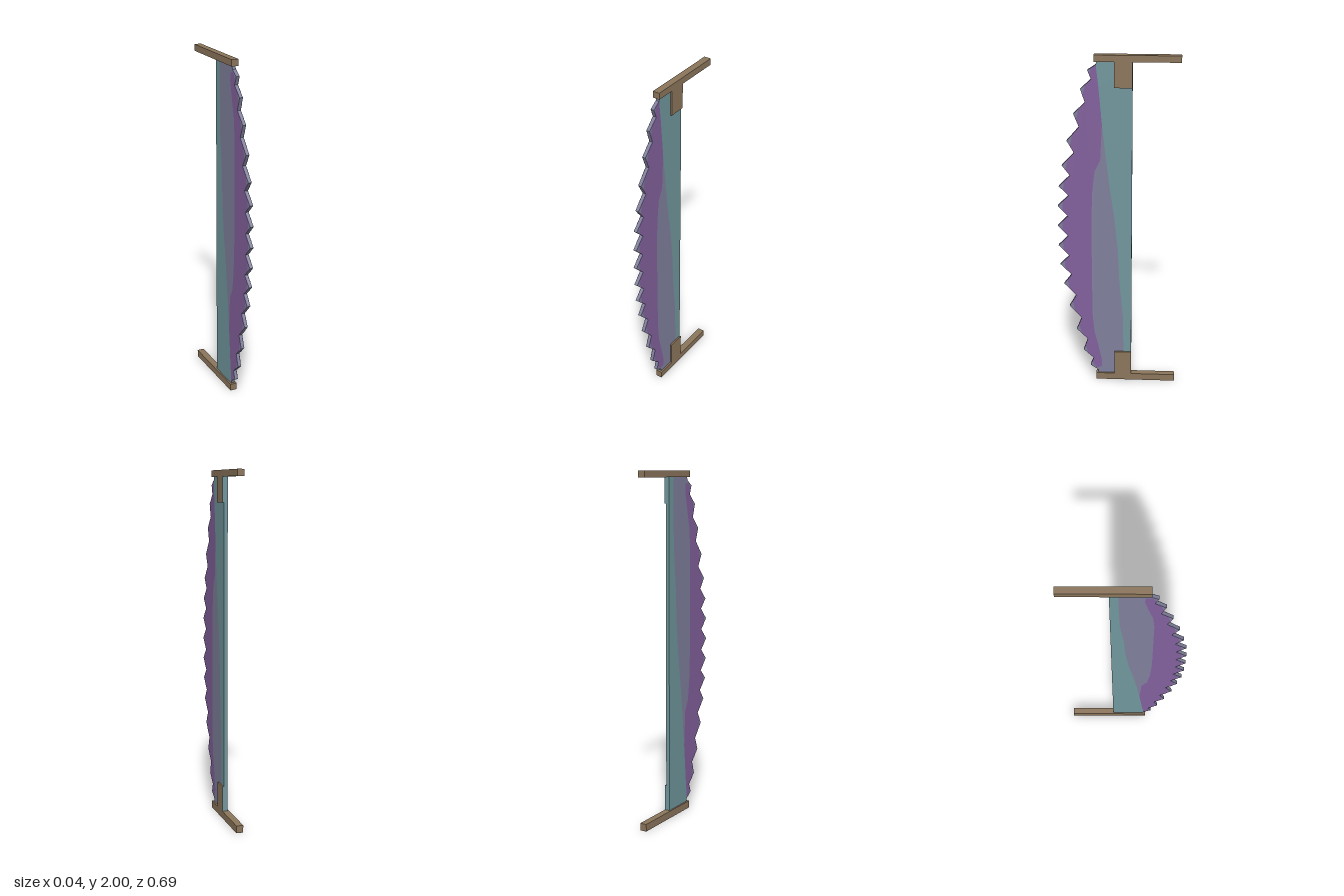
import * as THREE from 'three';

const mat = (name, color, side = THREE.FrontSide) => {
  const m = new THREE.MeshStandardMaterial({ color, side });
  m.name = name;
  return m;
};

export function createModel() {
  const group = new THREE.Group();
  const wood = mat('wood brown', 0x8b755b);
  const steel = mat('slate steel', 0x7f7f9c);
  const teal = mat('teal steel', 0x70969c, THREE.DoubleSide);
  const purple = mat('purple steel', 0x82609c, THREE.DoubleSide);

  const add = (name, geometry, material) => {
    const mesh = new THREE.Mesh(geometry, material);
    mesh.name = name;
    group.add(mesh);
    return mesh;
  };
  const box = (name, x0, x1, y0, y1, z0, z1, material) =>
    add(name, new THREE.BoxGeometry(x1 - x0, y1 - y0, z1 - z0), material)
      .position.set((x0 + x1) / 2, (y0 + y1) / 2, (z0 + z1) / 2);

  // Profile points are [z, y]; the lower half of the teeth mirrors the upper half
  const MID = 1.003, LOW = 0.04, HIGH = 1.965, BACK = -0.08;
  const flip = ([z, y]) => [z, 2 * MID - y];
  const mirror = (half) => [...half, ...half.map(flip).reverse()];
  const upperTips = [[0.165, 1.915], [0.205, 1.81], [0.245, 1.67], [0.285, 1.515],
    [0.315, 1.37], [0.335, 1.245], [0.343, 1.125]];
  const tips = [...upperTips, [0.345, MID], ...upperTips.map(flip).reverse()];
  const valleys = mirror([[0.12, 1.945], [0.145, 1.865], [0.18, 1.735], [0.215, 1.595],
    [0.245, 1.445], [0.27, 1.31], [0.28, 1.19], [0.285, 1.065]]);
  const mix = (a, b, t) => [a[0] + (b[0] - a[0]) * t, a[1] + (b[1] - a[1]) * t];

  // Toothed edge from top to bottom: sharp for the blade, cut short for the purple band
  const sharp = [], blunt = [];
  valleys.forEach((v, i) => {
    sharp.push(v);
    blunt.push(v);
    if (i < tips.length) {
      sharp.push(tips[i]);
      blunt.push(mix(v, tips[i], 0.55), mix(valleys[i + 1], tips[i], 0.55));
    }
  });
  blunt.pop();

  const toShape = (points) => new THREE.Shape(points.map(([z, y]) => new THREE.Vector2(z, y)));

  // Blade body
  const blade = add('blade', new THREE.ExtrudeGeometry(
    toShape([[BACK, HIGH], [0.115, HIGH], ...sharp, [0.115, LOW], [BACK, LOW]]),
    { depth: 0.02, bevelEnabled: false }), steel);
  blade.rotation.y = -Math.PI / 2;
  blade.position.x = 0.01;

  // Coloured bands; the left-over steel between them shows as slate
  const upperSeam = [[0.118, 1.94], [0.105, 1.82], [0.087, 1.61]];
  const tealBand = [[BACK, LOW], [BACK, HIGH], [0.115, HIGH], ...upperSeam, [0.07, 1.45],
    [0.045, 1.235], [0.018, 1.05], [0, 0.865], [-0.01, 0.65], [-0.03, 0.44],
    [-0.035, 0.19], [-0.035, LOW]];
  const purpleBand = [...blunt.slice(0, -1), [0.13, 0.075], [0.098, 0.08], [0.095, 0.125],
    [0.115, 0.22], [0.14, 0.325], [0.15, 0.44], [0.152, 1.02], [0.145, 1.21],
    [0.13, 1.34], [0.098, 1.405], ...upperSeam.slice().reverse()];

  // The bands run upside down on the other side of the blade
  for (const side of [1, -1]) {
    for (const [name, points, material] of [['backBand', tealBand, teal], ['toothBand', purpleBand, purple]]) {
      const face = add(name, new THREE.ShapeGeometry(
        toShape(side > 0 ? points : points.map(flip))), material);
      face.rotation.y = -Math.PI / 2;
      face.position.x = side * 0.0108;
    }
  }
  box('backEdge', -0.0105, 0.0105, LOW, HIGH, BACK - 0.001, BACK + 0.001, teal);

  // Handles and the brackets that hold the blade
  const bracketMaterials = [wood, wood, wood, wood, wood, teal];
  for (const [handleLow, bracketLow, bracketHigh] of [[0, 0.04, 0.19], [1.963, 1.82, 1.963]]) {
    box('handle', -0.02, 0.02, handleLow, handleLow ? 2 : 0.042, -0.345, 0.13, wood);
    box('bracket', 0.005, 0.02, bracketLow, bracketHigh, -0.0805, 0.02, bracketMaterials);
  }
  return group;
}
